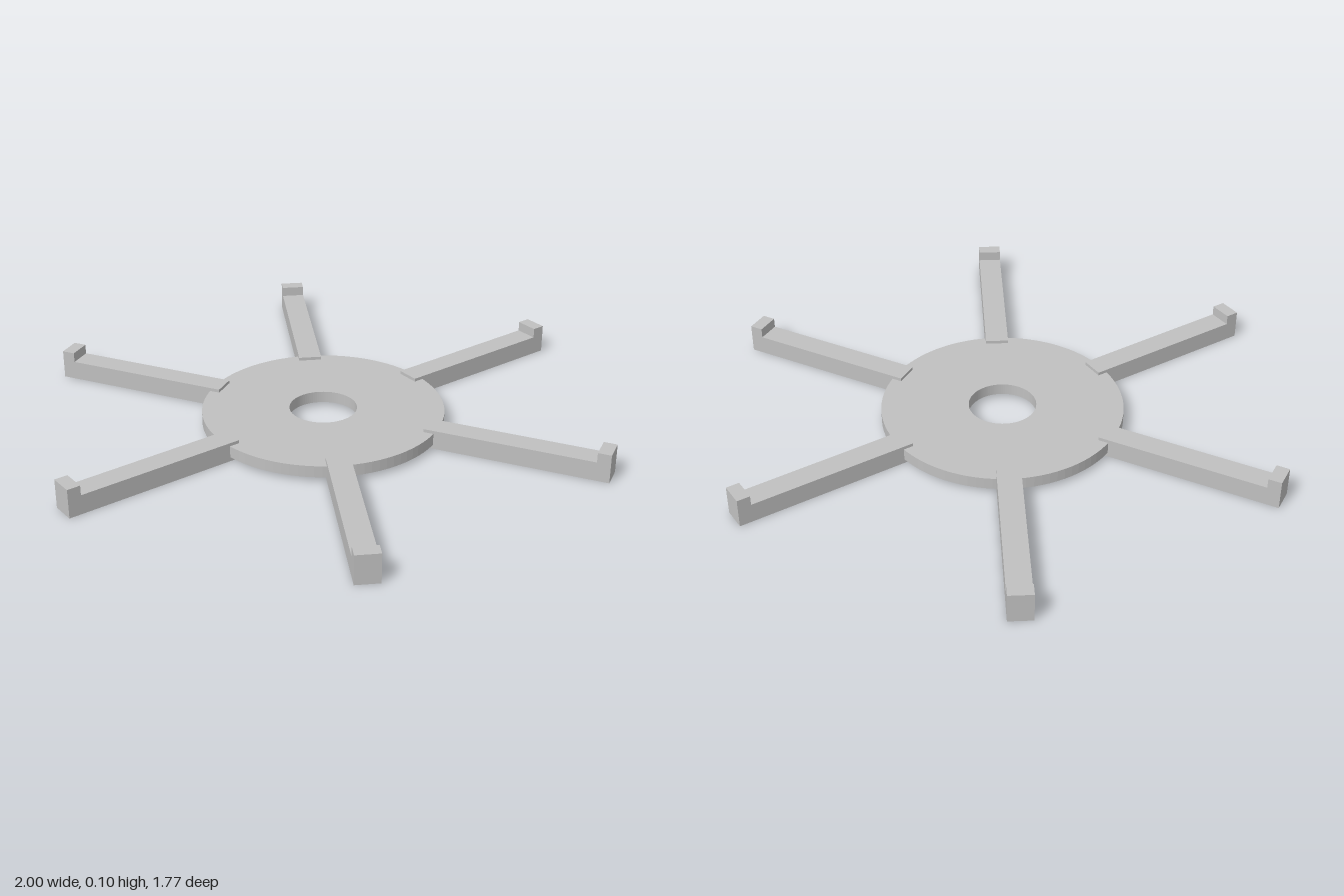
import * as THREE from 'three';

const ARM_COUNT = 6;
const ARM_WIDTH = 0.08;

// Extrude a shape and keep hard, flat caps
function extrude(shape, depth, curveSegments = 12) {
  return new THREE.ExtrudeGeometry(shape, { depth, curveSegments, bevelEnabled: false });
}

export function createModel() {
  const model = new THREE.Group();
  model.name = 'spokedHub';
  const grey = new THREE.MeshStandardMaterial({ color: 0xc0c0c0 });
  grey.name = 'light grey';

  // Flat hub disc with a round centre hole
  const disc = new THREE.Shape();
  disc.absarc(0, 0, 0.412, 0, Math.PI * 2, false);
  const bore = new THREE.Path();
  bore.absarc(0, 0, 0.115, 0, Math.PI * 2, true);
  disc.holes.push(bore);
  const hubGeometry = extrude(disc, 0.04, 48);
  hubGeometry.rotateX(-Math.PI / 2);
  const hub = new THREE.Mesh(hubGeometry, grey);
  hub.name = 'hubDisc';
  hub.position.y = 0.015;
  model.add(hub);

  // Radial arms: side profile with a raised lip at the outer end
  const profile = new THREE.Shape([
    [0.375, 0], [1, 0], [1, 0.1], [0.955, 0.1], [0.955, 0.066], [0.375, 0.066],
  ].map(([x, y]) => new THREE.Vector2(x, y)));
  const armGeometry = extrude(profile, ARM_WIDTH);
  armGeometry.translate(0, 0, -ARM_WIDTH / 2);
  for (let i = 0; i < ARM_COUNT; i++) {
    const arm = new THREE.Mesh(armGeometry, grey);
    arm.name = `arm${i + 1}`;
    arm.rotation.y = (i / ARM_COUNT) * Math.PI * 2;
    model.add(arm);
  }

  return model;
}
